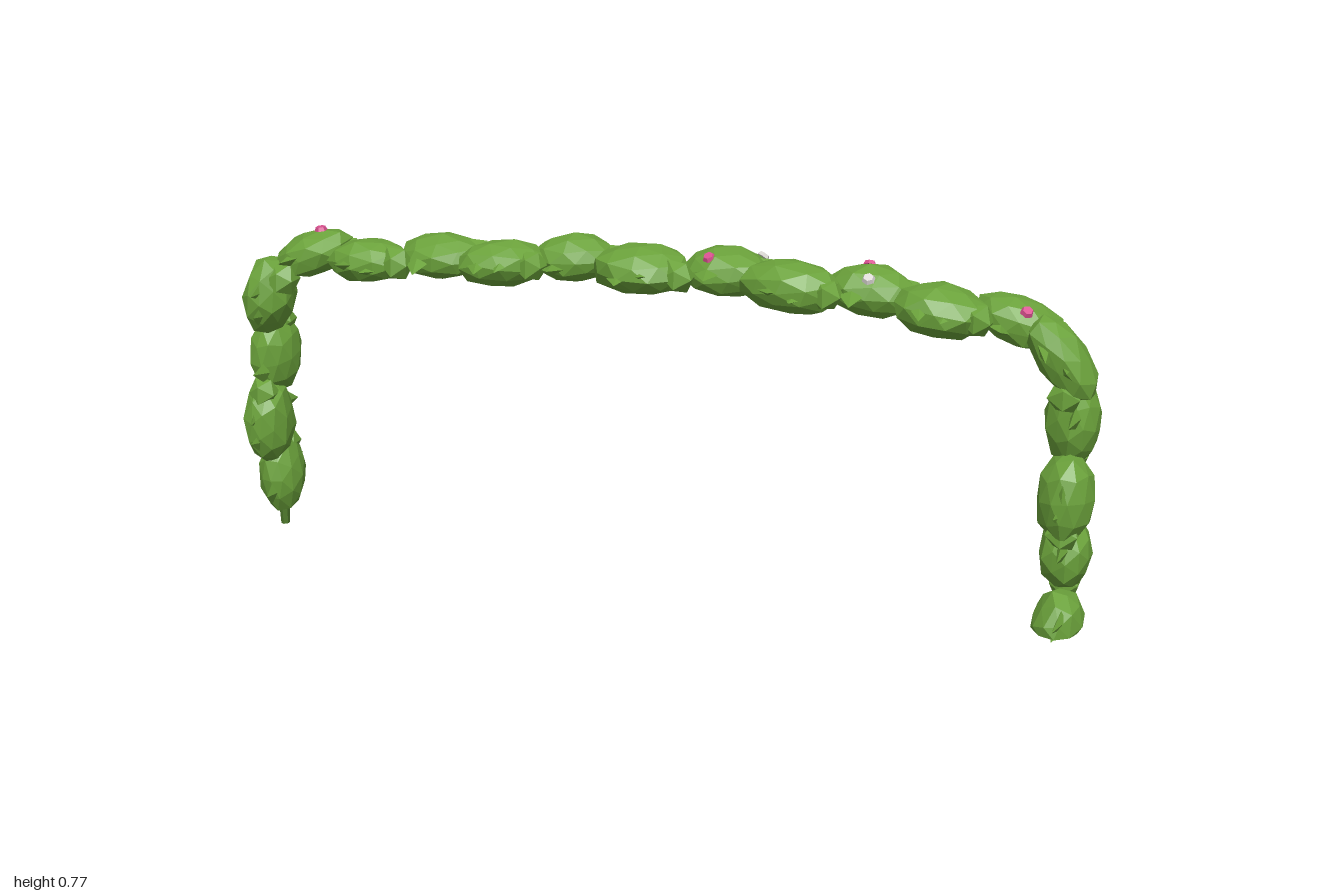
import * as THREE from 'three';

const mat = (name, color) => Object.assign(new THREE.MeshStandardMaterial({ color, flatShading: true }), { name });

// Leafy clumps along the arch: x, y, z, tilt in degrees, half length, half thickness, half depth
const CLUMPS = [
  [-0.935, 0.125, -0.02, 90, 0.10, 0.053, 0.075],
  [-0.94, 0.27, 0.025, 90, 0.105, 0.057, 0.08],
  [-0.94, 0.425, -0.025, 90, 0.10, 0.06, 0.08],
  [-0.925, 0.58, 0.02, 80, 0.10, 0.06, 0.075],
  [-0.83, 0.675, -0.025, 22, 0.10, 0.055, 0.082],
  [-0.67, 0.683, 0.015, 3, 0.105, 0.052, 0.072],
  [-0.51, 0.693, -0.03, 3, 0.11, 0.053, 0.08],
  [-0.345, 0.705, 0.02, 5, 0.11, 0.055, 0.075],
  [-0.19, 0.717, -0.03, 4, 0.105, 0.055, 0.078],
  [-0.02, 0.716, 0.015, 0, 0.12, 0.06, 0.085],
  [0.165, 0.714, -0.03, -2, 0.11, 0.057, 0.08],
  [0.32, 0.708, 0.015, -3, 0.12, 0.06, 0.088],
  [0.485, 0.701, -0.03, -5, 0.105, 0.058, 0.08],
  [0.645, 0.685, 0.018, -6, 0.11, 0.06, 0.085],
  [0.805, 0.665, -0.025, -18, 0.105, 0.055, 0.08],
  [0.907, 0.605, 0.022, -52, 0.112, 0.055, 0.068],
  [0.93, 0.455, -0.028, -90, 0.105, 0.062, 0.077],
  [0.93, 0.295, 0.022, -90, 0.108, 0.063, 0.082],
  [0.93, 0.155, -0.025, -90, 0.085, 0.06, 0.078],
  [0.928, 0.0, 0.018, -90, 0.088, 0.06, 0.083],
];

// Flowers: clump index, direction in the clump's own frame, colour
const FLOWERS = [
  [4, [0.45, 0.85, 0.1], 'pink'],
  [10, [-0.3, 0.75, 0.6], 'pink'],
  [12, [-0.2, 0.75, -0.6], 'pink'],
  [14, [0.1, 0.75, 0.65], 'pink'],
  [12, [0, 0.72, 0.7], 'white'],
  [10, [0.6, 0.6, -0.5], 'white'],
  [4, [0.55, 0, -0.85], 'orange'],
  [6, [0.3, 0.15, -0.95], 'orange'],
  [19, [-0.25, -0.1, -0.95], 'orange'],
];

// Position-based roughness, so shared corners stay together
function roughen(geo, seed, amount) {
  const p = geo.attributes.position, v = new THREE.Vector3();
  for (let i = 0; i < p.count; i++) {
    v.fromBufferAttribute(p, i);
    const key = Math.round(v.x * 50) * 12.99 + Math.round(v.y * 50) * 78.23 + Math.round(v.z * 50) * 37.72 + seed * 9.17;
    const s = Math.sin(key) * 43758.55;
    v.multiplyScalar(1.03 - amount * (s - Math.floor(s)));
    p.setXYZ(i, v.x, v.y, v.z);
  }
  return geo;
}

// Flatten whatever would sink below the ground
function trimAtGround(geo) {
  const p = geo.attributes.position;
  for (let i = 0; i < p.count; i++) p.setY(i, Math.max(0, p.getY(i)));
  geo.computeVertexNormals();
  return geo;
}

export function createModel() {
  const model = new THREE.Group();
  model.name = 'hedgeArch';
  const leaf = mat('leafGreen', 0x6ba23b);
  const stemMat = mat('stemGreen', 0x4f7a2c);
  const petals = { pink: mat('pinkPetal', 0xd8508f), white: mat('whitePetal', 0xd9d6d2), orange: mat('orangePetal', 0xe09a2b) };
  const add = (name, geo, material) => {
    const mesh = new THREE.Mesh(geo, material);
    mesh.name = name;
    model.add(mesh);
    return mesh;
  };
  const frames = CLUMPS.map(([x, y, z, tilt]) =>
    new THREE.Matrix4().makeRotationZ(THREE.MathUtils.degToRad(tilt)).setPosition(x, y, z));

  CLUMPS.forEach(([, , z, , a, b, c], i) => {
    // Faceted clump
    const blob = roughen(new THREE.IcosahedronGeometry(1, 1), i, 0.14);
    blob.rotateX(i * 1.3).rotateY(i * 0.7).scale(a, b, c);
    add('leafClump', trimAtGround(blob.applyMatrix4(frames[i])), leaf);

    // Flat pointed leaves: two on the outward side, one on the sheltered side
    const out = Math.sign(z);
    [[0.02, out, 0.028], [-0.032, out, 0.024], [0.025 * (i % 2 ? 1 : -1), -out, 0.026]].forEach(([u, side, w], k) => {
      const tip = k === 2 ? 0.098 : 0.126 - 0.012 * ((i + k) % 2);
      const geo = new THREE.ConeGeometry(w, 0.055, 4).rotateX(side * Math.PI / 2);
      geo.scale(1, 0.45, 1).rotateY(-side * u * 6).rotateX(0.25 * Math.sin(i * 2 + k));
      geo.translate(u, 0.01 * Math.sin(i + k * 2), side * (tip - 0.0275) - z);
      add('pointedLeaf', trimAtGround(geo.applyMatrix4(frames[i])), leaf);
    });

    // Small tuft filling the gap to the next clump
    if (i < CLUMPS.length - 1) {
      const n = CLUMPS[i + 1];
      const tuft = roughen(new THREE.IcosahedronGeometry(0.042, 0), i + 40, 0.2);
      tuft.translate((CLUMPS[i][0] + n[0]) / 2, (CLUMPS[i][1] + n[1]) / 2, out * 0.045);
      add('leafTuft', trimAtGround(tuft), leaf);
    }
  });

  // Small flowers sitting on the clumps
  FLOWERS.forEach(([i, dir, colour]) => {
    const [, , , , a, b, c] = CLUMPS[i];
    const d = new THREE.Vector3(...dir).normalize();
    const normal = new THREE.Vector3(d.x / a, d.y / b, d.z / c).normalize();
    const flower = add('flower', new THREE.CylinderGeometry(0.011, 0.015, 0.009, 6), petals[colour]);
    flower.position.set(d.x * a, d.y * b, d.z * c).applyMatrix4(frames[i]);
    normal.transformDirection(frames[i]);
    flower.quaternion.setFromUnitVectors(new THREE.Vector3(0, 1, 0), normal);
  });

  // Short stem under the hanging end
  const stem = add('stem', new THREE.CylinderGeometry(0.013, 0.01, 0.06, 6), stemMat);
  stem.position.set(-0.932, 0.03, -0.01);
  return model;
}
